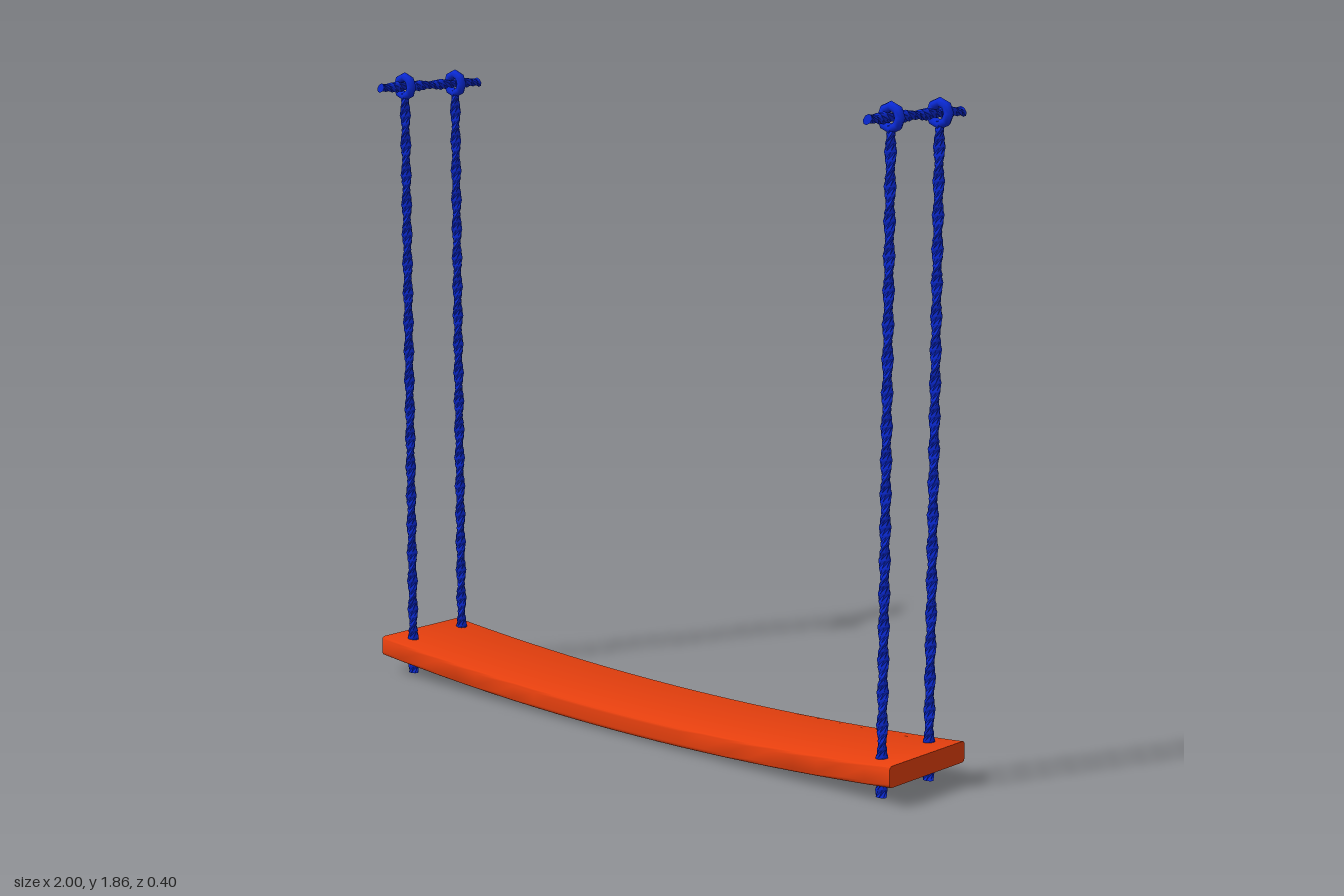
import * as THREE from 'three';
import { toCreasedNormals } from 'three/addons/utils/BufferGeometryUtils.js';

const ROPE_X = 0.925, ROPE_Z = 0.103, TOP_Y = 1.815;

// Rope along y: an oval section twisted steadily along its length
function twistedRope(length) {
  const geo = new THREE.CylinderGeometry(1, 1, length, 8, Math.round(length / 0.0225));
  const pos = geo.attributes.position;
  for (let i = 0; i < pos.count; i++) {
    const y = pos.getY(i);
    const a = (y / 0.18) * Math.PI * 2;
    const u = pos.getX(i) * 0.017, v = pos.getZ(i) * 0.012;
    pos.setXYZ(i, u * Math.cos(a) + v * Math.sin(a), y, -u * Math.sin(a) + v * Math.cos(a));
  }
  return toCreasedNormals(geo, 1);
}

// Plank with softly rounded long edges, sagging toward the middle
function seatGeometry() {
  const w = 0.165, h = 0.03, r = 0.012;
  const s = new THREE.Shape();
  s.moveTo(-w + r, -h);
  s.lineTo(w - r, -h);
  s.quadraticCurveTo(w, -h, w, -h + r);
  s.lineTo(w, h - r);
  s.quadraticCurveTo(w, h, w - r, h);
  s.lineTo(-w + r, h);
  s.quadraticCurveTo(-w, h, -w, h - r);
  s.lineTo(-w, -h + r);
  s.quadraticCurveTo(-w, -h, -w + r, -h);
  const geo = new THREE.ExtrudeGeometry(s, { depth: 2, steps: 24, curveSegments: 4, bevelEnabled: false });
  geo.translate(0, 0, -1).rotateY(Math.PI / 2);
  const pos = geo.attributes.position;
  for (let i = 0; i < pos.count; i++) {
    const x = pos.getX(i);
    pos.setY(i, pos.getY(i) + 0.038 + 0.045 * x * x);
  }
  return toCreasedNormals(geo, 0.7);
}

export function createModel() {
  const model = new THREE.Group();
  model.name = 'swing';
  const blue = new THREE.MeshStandardMaterial({ color: 0x0a2bdc });
  const orange = new THREE.MeshStandardMaterial({ color: 0xe8400e });

  const add = (name, geo, mat, x, y, z) => {
    const mesh = new THREE.Mesh(geo, mat);
    mesh.name = name;
    mesh.position.set(x, y, z);
    model.add(mesh);
    return mesh;
  };

  add('seat', seatGeometry(), orange, 0, 0, 0);

  const ropeGeo = twistedRope(TOP_Y - 0.02);
  const barGeo = twistedRope(0.4).rotateX(Math.PI / 2);
  const loopGeo = new THREE.TorusGeometry(0.029, 0.014, 8, 8);

  for (const side of [1, -1]) {
    const label = side > 0 ? 'left' : 'right';
    const x = side * ROPE_X;
    // Rope running front to back through the loops
    add(label + 'TopRope', barGeo, blue, x, TOP_Y, 0);
    for (const end of [1, -1]) {
      const place = label + (end > 0 ? 'Front' : 'Back');
      // Hanging rope passing through the seat, with a loop at its top
      add(place + 'Rope', ropeGeo, blue, x, (TOP_Y - 0.02) / 2, end * ROPE_Z);
      add(place + 'Loop', loopGeo, blue, x, TOP_Y, end * ROPE_Z);
    }
  }
  return model;
}
